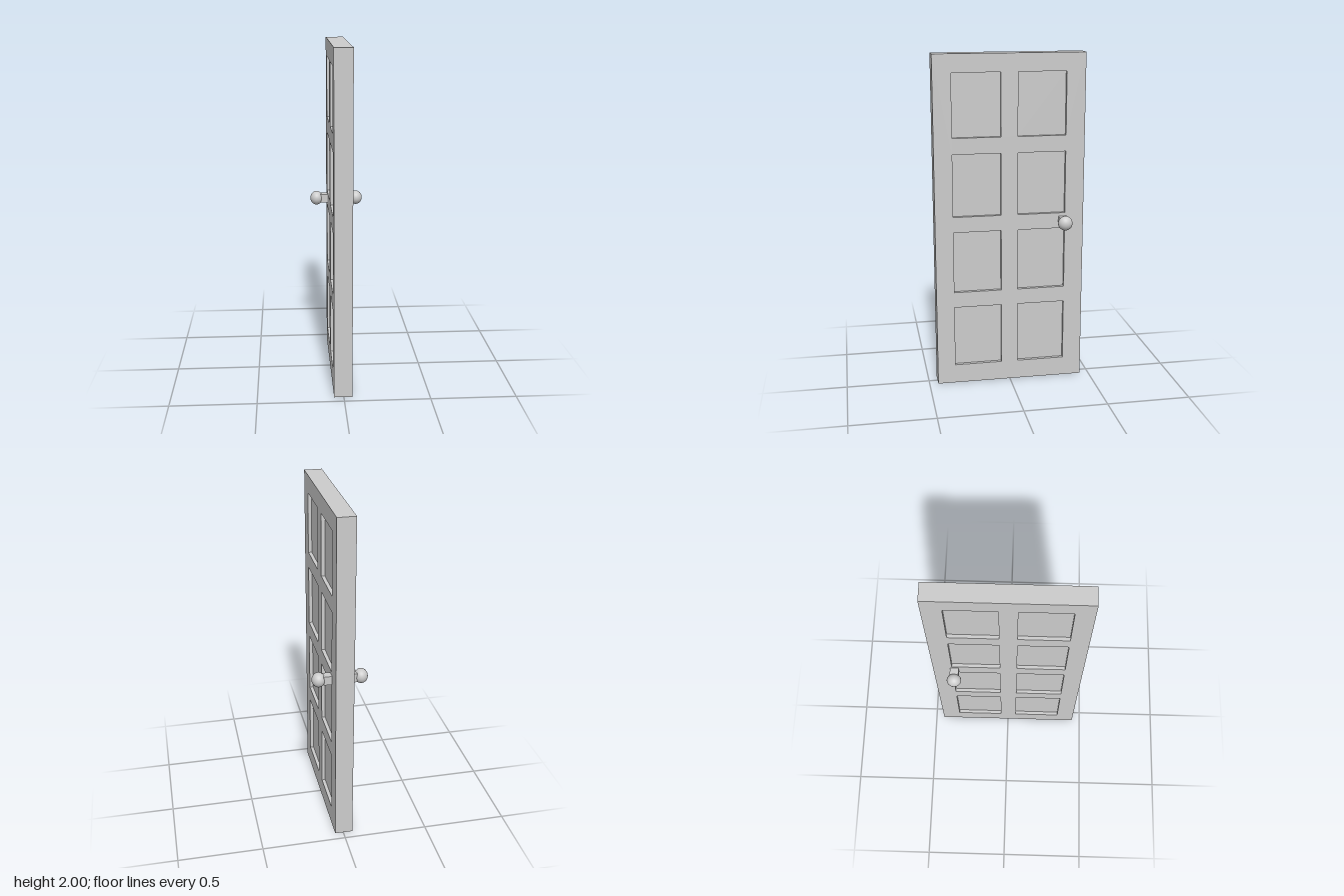
import * as THREE from 'three';

export function createModel() {
  const group = new THREE.Group();
  const mat = new THREE.MeshStandardMaterial({ color: 0xcccccc });
  const add = (name, geo, x, y, z) => {
    const mesh = new THREE.Mesh(geo, mat);
    mesh.name = name;
    mesh.position.set(x, y, z);
    group.add(mesh);
    return mesh;
  };

  const front = 0.05, back = -0.056, thick = front - back, mid = (front + back) / 2;
  const recess = 0.021, halfWidth = 0.447;
  const panelW = 0.286, panelH = 0.373;
  const columns = [0.196, -0.191];
  const rows = [0.303, 0.771, 1.238, 1.707];

  const rect = (path, cx, cy, w, h) => {
    path.moveTo(cx - w / 2, cy - h / 2);
    path.lineTo(cx + w / 2, cy - h / 2);
    path.lineTo(cx + w / 2, cy + h / 2);
    path.lineTo(cx - w / 2, cy + h / 2);
    path.closePath();
    return path;
  };

  // Door frame with eight openings, each closed by a thinner recessed panel
  const shape = rect(new THREE.Shape(), 0, 1, halfWidth * 2, 2);
  for (const z of columns) {
    for (const y of rows) {
      shape.holes.push(rect(new THREE.Path(), z, y, panelW, panelH));
      add('recessedPanel', new THREE.BoxGeometry(thick - 2 * recess, panelH, panelW), mid, y, z);
    }
  }
  const frame = new THREE.ExtrudeGeometry(shape, { depth: thick, bevelEnabled: false });
  frame.rotateY(-Math.PI / 2);
  add('doorFrame', frame, front, 0, 0);

  // Knob and square stem on each face
  for (const side of [1, -1]) {
    const face = side > 0 ? front : back;
    const end = side * 0.098;
    add('knobStem', new THREE.BoxGeometry(Math.abs(end - face) + 0.01, 0.053, 0.051),
      (end + face - side * 0.01) / 2, 1.005, -0.32);
    const knob = add('knob', new THREE.SphereGeometry(0.043, 32, 16), side * 0.124, 1.005, -0.32);
    knob.scale.x = 0.91;
  }
  return group;
}
